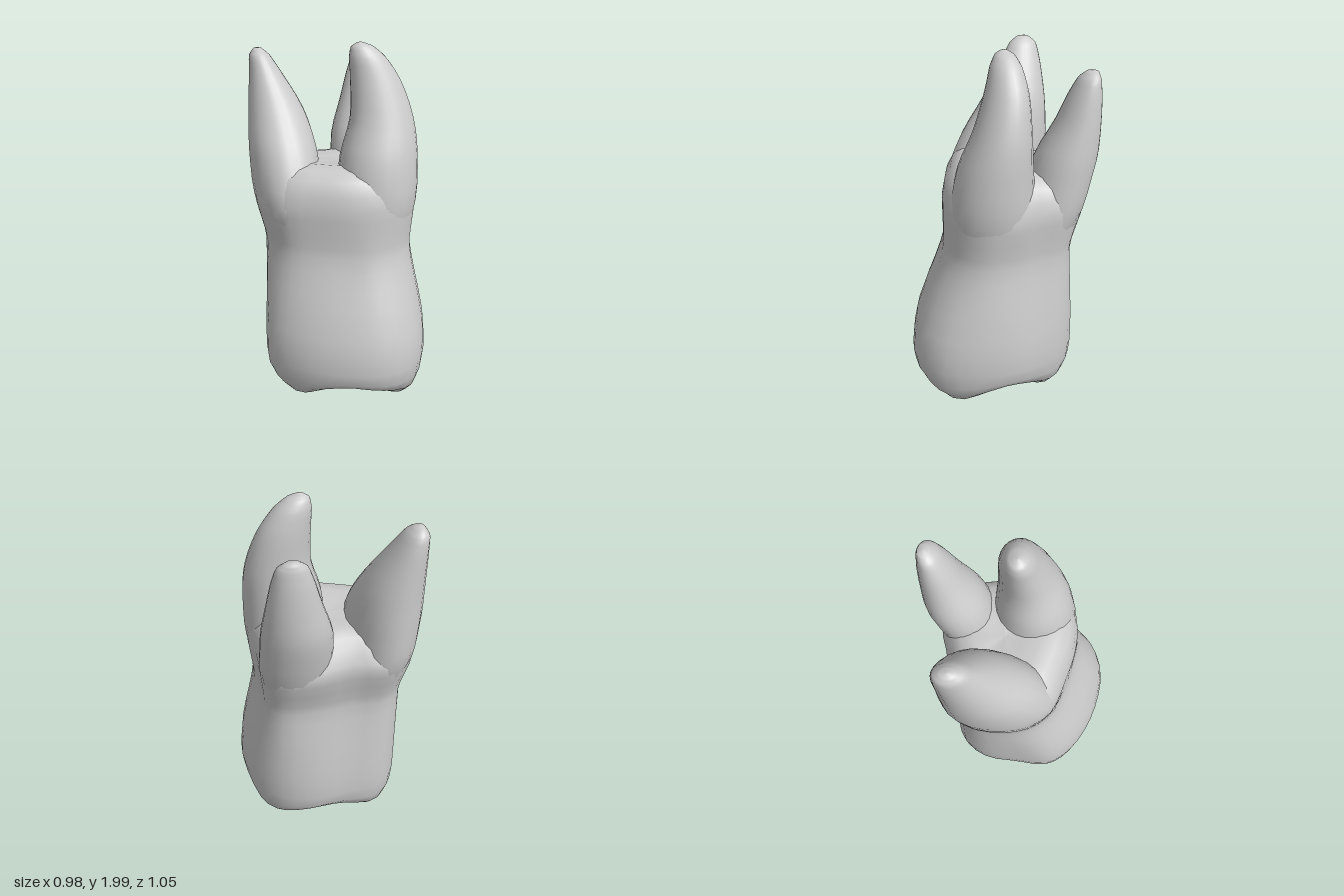
import * as THREE from 'three';

const SIDES = 40;
const material = new THREE.MeshStandardMaterial({ color: 0xcccccc, roughness: 0.7 });

// Skin over a stack of closed rings, each running left, front, right, back
function loft(rings) {
  const n = rings[0].length, pos = [], index = [];
  rings.forEach(r => r.forEach(p => pos.push(p.x, p.y, p.z)));
  for (let j = 0; j < rings.length - 1; j++) {
    for (let i = 0; i < n; i++) {
      const k = (i + 1) % n, a = j * n + i, b = j * n + k;
      index.push(a, b, b + n, a, b + n, a + n);
    }
  }
  const g = new THREE.BufferGeometry();
  g.setAttribute('position', new THREE.Float32BufferAttribute(pos, 3));
  g.setIndex(index);
  g.computeVertexNormals();
  return g;
}

// Smooth closed outline through a few (x, z) points
function outline(points) {
  const curve = new THREE.CatmullRomCurve3(
    points.map(([x, z]) => new THREE.Vector3(x, 0, z)), true, 'centripetal');
  return Array.from({ length: SIDES }, (_, i) => curve.getPoint(i / SIDES));
}

const crown = outline([
  [-0.47, 0.12], [-0.41, 0.25], [-0.27, 0.38], [-0.07, 0.48], [0.14, 0.52], [0.32, 0.45],
  [0.43, 0.28], [0.485, 0.06], [0.47, -0.1], [0.43, -0.25], [0.31, -0.38], [0.13, -0.44],
  [-0.08, -0.43], [-0.27, -0.41], [-0.39, -0.28], [-0.44, -0.08]]);
const neck = outline([
  [-0.41, 0], [-0.33, 0.14], [-0.2, 0.22], [-0.05, 0.28], [0.1, 0.32], [0.25, 0.28],
  [0.35, 0.18], [0.38, 0.02], [0.37, -0.14], [0.36, -0.27], [0.28, -0.36], [0.1, -0.38],
  [-0.1, -0.37], [-0.27, -0.38], [-0.38, -0.3], [-0.42, -0.15]]);
const shoulder = outline([
  [-0.46, 0], [-0.36, 0.14], [-0.2, 0.22], [-0.05, 0.28], [0.1, 0.305], [0.26, 0.28],
  [0.37, 0.18], [0.405, 0.04], [0.385, -0.13], [0.38, -0.29], [0.3, -0.42], [0.12, -0.45],
  [-0.08, -0.42], [-0.27, -0.45], [-0.42, -0.36], [-0.475, -0.18]]);

const blend = (a, b, t, y) => a.map((p, i) => p.clone().lerp(b[i], t).setY(y));
const shrink = (ring, cx, cz, f, height) => ring.map(p => {
  const x = cx + (p.x - cx) * f, z = cz + (p.z - cz) * f;
  return new THREE.Vector3(x, height(x, z), z);
});

// Chewing surface: four cusps with grooves between them
const cusps = [[-0.28, 0.2], [0.27, 0.31], [-0.24, -0.27], [0.3, -0.2]];
const chewing = (x, z) => 0.18 - 0.175 * Math.max(
  ...cusps.map(([cx, cz]) => Math.exp(-((x - cx) ** 2 + (z - cz) ** 2) / 0.04)));

function bodyGeometry() {
  const rings = [];
  for (const f of [0, 0.12, 0.24, 0.36, 0.48, 0.58, 0.67, 0.76])
    rings.push(shrink(crown, 0.02, 0.03, f, chewing));
  rings.push(shrink(crown, 0.02, 0.03, 0.86, (x, z) => chewing(x, z) * 0.9 + 0.015));
  rings.push(shrink(crown, 0.02, 0.03, 0.94, (x, z) => chewing(x, z) * 0.6 + 0.06));
  rings.push(shrink(crown, 0.02, 0.03, 0.985, (x, z) => chewing(x, z) * 0.3 + 0.14));
  for (const [y, t] of [[0.26, -0.02], [0.36, 0.04], [0.46, 0.15], [0.6, 0.42], [0.7, 0.64], [0.8, 0.84], [0.88, 0.97]])
    rings.push(blend(crown, neck, t, y));
  for (const [y, t] of [[0.94, 0.15], [1.02, 0.5], [1.1, 0.85], [1.16, 1]])
    rings.push(blend(neck, shoulder, t, y));
  // Saddle where the roots part, lower towards the back
  for (const [f, y] of [[0.96, 1.24], [0.87, 1.31], [0.72, 1.35], [0.5, 1.36], [0.25, 1.34], [0, 1.33]])
    rings.push(shrink(shoulder, 0, -0.1, f, (x, z) => y + 0.14 * Math.min(0, z + 0.1)));
  return loft(rings);
}

// Root from stations: [y, centre x, centre z, half width, half depth]
function rootGeometry(stations) {
  const centre = new THREE.CatmullRomCurve3(stations.map(([y, x, z]) => new THREE.Vector3(x, y, z)));
  const size = new THREE.CatmullRomCurve3(stations.map(s => new THREE.Vector3(s[3], 0, s[4])));
  const rows = (stations.length - 1) * 3, rings = [];
  for (let j = 0; j <= rows; j++) {
    const c = centre.getPoint(j / rows), s = size.getPoint(j / rows);
    rings.push(Array.from({ length: 24 }, (_, i) => {
      const a = i / 24 * Math.PI * 2;
      return new THREE.Vector3(c.x - s.x * Math.cos(a), c.y, c.z + s.z * Math.sin(a));
    }));
  }
  const [y, x, z] = stations.at(-1);
  rings.push(rings[0].map(() => new THREE.Vector3(x, y + 0.005, z)));
  return loft(rings);
}

const roots = {
  frontRoot: [
    [0.9, 0.15, 0.04, 0.2, 0.23], [1.15, 0.18, 0.065, 0.225, 0.235], [1.4, 0.195, 0.06, 0.215, 0.2],
    [1.6, 0.215, 0.03, 0.175, 0.15], [1.8, 0.185, -0.005, 0.137, 0.11],
    [1.92, 0.142, -0.018, 0.098, 0.08], [1.975, 0.115, -0.022, 0.06, 0.05], [1.995, 0.105, -0.022, 0.02, 0.02]],
  sideRoot: [
    [0.9, -0.21, -0.1, 0.19, 0.25], [1.15, -0.28, -0.14, 0.198, 0.31], [1.4, -0.3, -0.2, 0.19, 0.26],
    [1.6, -0.32, -0.27, 0.155, 0.185], [1.8, -0.367, -0.33, 0.09, 0.115],
    [1.89, -0.392, -0.35, 0.057, 0.08], [1.925, -0.4, -0.355, 0.025, 0.035]],
  backRoot: [
    [0.9, 0.18, -0.19, 0.16, 0.17], [1.15, 0.195, -0.28, 0.195, 0.17], [1.4, 0.2, -0.345, 0.185, 0.168],
    [1.6, 0.22, -0.4, 0.14, 0.12], [1.75, 0.23, -0.43, 0.105, 0.085],
    [1.84, 0.235, -0.45, 0.075, 0.055], [1.875, 0.235, -0.465, 0.035, 0.03]],
};

export function createModel() {
  const tooth = new THREE.Group();
  tooth.name = 'molar';
  const add = (name, geometry) => {
    const mesh = new THREE.Mesh(geometry, material);
    mesh.name = name;
    tooth.add(mesh);
  };
  add('crownAndNeck', bodyGeometry());
  for (const [name, stations] of Object.entries(roots)) add(name, rootGeometry(stations));
  return tooth;
}
